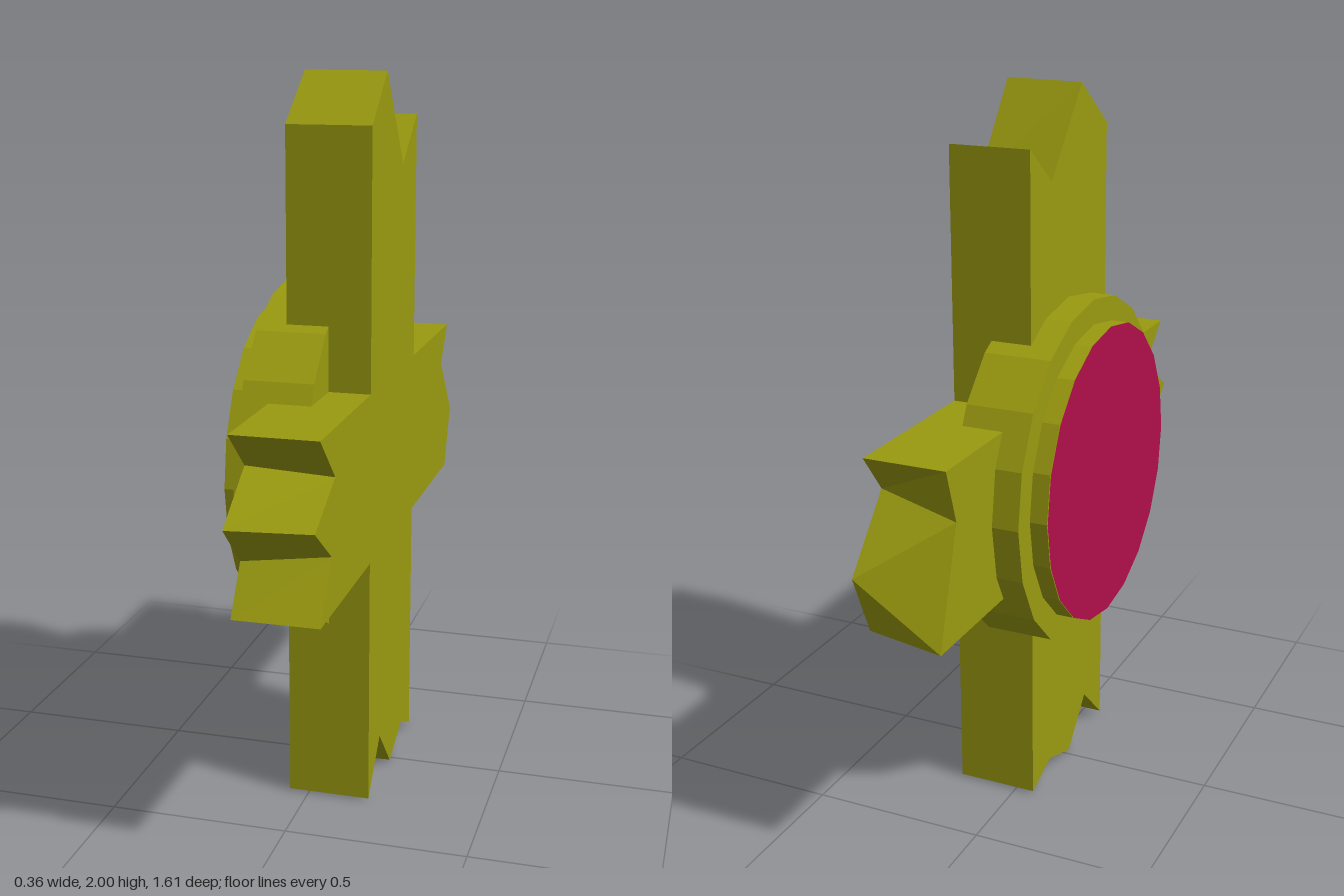
import * as THREE from 'three';

const OLIVE = 0x9a9a10, MAROON = 0xb00f4a;
const FRONT_X = 0.175, BACK_X = -0.055;   // the two faces of the plank cross
const HUB_Y = 0.935, HUB_Z = 0.01, SIDES = 20;

function material(color) {
  return new THREE.MeshStandardMaterial({ color, flatShading: true });
}

// Joins two outlines of [z, y] points (counter-clockwise seen from +x) into a solid slab.
function loft(front, back) {
  const pos = [];
  const put = (x, ...pts) => pts.forEach(([z, y]) => pos.push(x, y, z));
  const faces = loop => THREE.ShapeUtils.triangulateShape(
    loop.map(([z, y]) => new THREE.Vector2(-z, y)), []);
  for (const [a, b, c] of faces(front)) put(FRONT_X, front[a], front[b], front[c]);
  for (const [a, b, c] of faces(back)) put(BACK_X, back[a], back[c], back[b]);
  front.forEach((f, i) => {
    const j = (i + 1) % front.length;
    put(FRONT_X, f); put(BACK_X, back[i], back[j]);
    put(FRONT_X, f); put(BACK_X, back[j]); put(FRONT_X, front[j]);
  });
  const geo = new THREE.BufferGeometry();
  geo.setAttribute('position', new THREE.Float32BufferAttribute(pos, 3));
  geo.computeVertexNormals();
  return geo;
}

// Cross outline: four inner corners joined by the broken end of each arm.
function crossOutline(top, left, bottom, right) {
  return [
    ...top, [0.273, 1.175], ...left, [0.273, 0.705],
    ...bottom, [-0.24, 0.705], ...right, [-0.24, 1.175],
  ];
}

// Cylinder lying along x between two x values.
function disc(name, radius, x0, x1) {
  const geo = new THREE.CylinderGeometry(radius, radius, x1 - x0, SIDES);
  geo.rotateZ(Math.PI / 2);
  const mesh = new THREE.Mesh(geo, material(OLIVE));
  mesh.name = name;
  mesh.position.set((x0 + x1) / 2, HUB_Y, HUB_Z);
  return mesh;
}

export function createModel() {
  const model = new THREE.Group();
  model.name = 'brokenCross';

  // Cross with splintered ends that differ slightly from face to face
  const front = crossOutline(
    [[-0.24, 1.87], [-0.075, 1.745], [0.115, 2], [0.273, 1.87]],
    [[0.757, 1.175], [0.624, 1.05], [0.804, 0.96], [0.656, 0.855], [0.757, 0.705]],
    [[0.273, 0.005], [0.145, 0.138], [0.016, 0], [-0.132, 0.058], [-0.24, 0.005]],
    [[-0.73, 0.705], [-0.805, 0.88], [-0.645, 1.065], [-0.73, 1.175]]);
  const back = crossOutline(
    [[-0.24, 1.87], [-0.105, 1.767], [0.093, 2], [0.273, 1.87]],
    [[0.757, 1.175], [0.633, 1.065], [0.804, 0.95], [0.677, 0.83], [0.757, 0.705]],
    [[0.273, 0.005], [0.143, 0.13], [0.025, 0], [-0.12, 0.047], [-0.24, 0.005]],
    [[-0.78, 0.705], [-0.78, 0.705], [-0.682, 1.025], [-0.73, 1.175]]);
  const cross = new THREE.Mesh(loft(front, back), material(OLIVE));
  cross.name = 'cross';
  model.add(cross);

  // Stepped round hub
  model.add(disc('hubDrum', 0.496, -0.13, 0.06));
  model.add(disc('hubRim', 0.425, -0.179, -0.13));

  // Coloured face of the hub
  const face = new THREE.Mesh(new THREE.CircleGeometry(0.425, SIDES), material(MAROON));
  face.name = 'hubFace';
  face.rotation.y = -Math.PI / 2;
  face.position.set(-0.181, HUB_Y, HUB_Z);
  model.add(face);

  return model;
}
